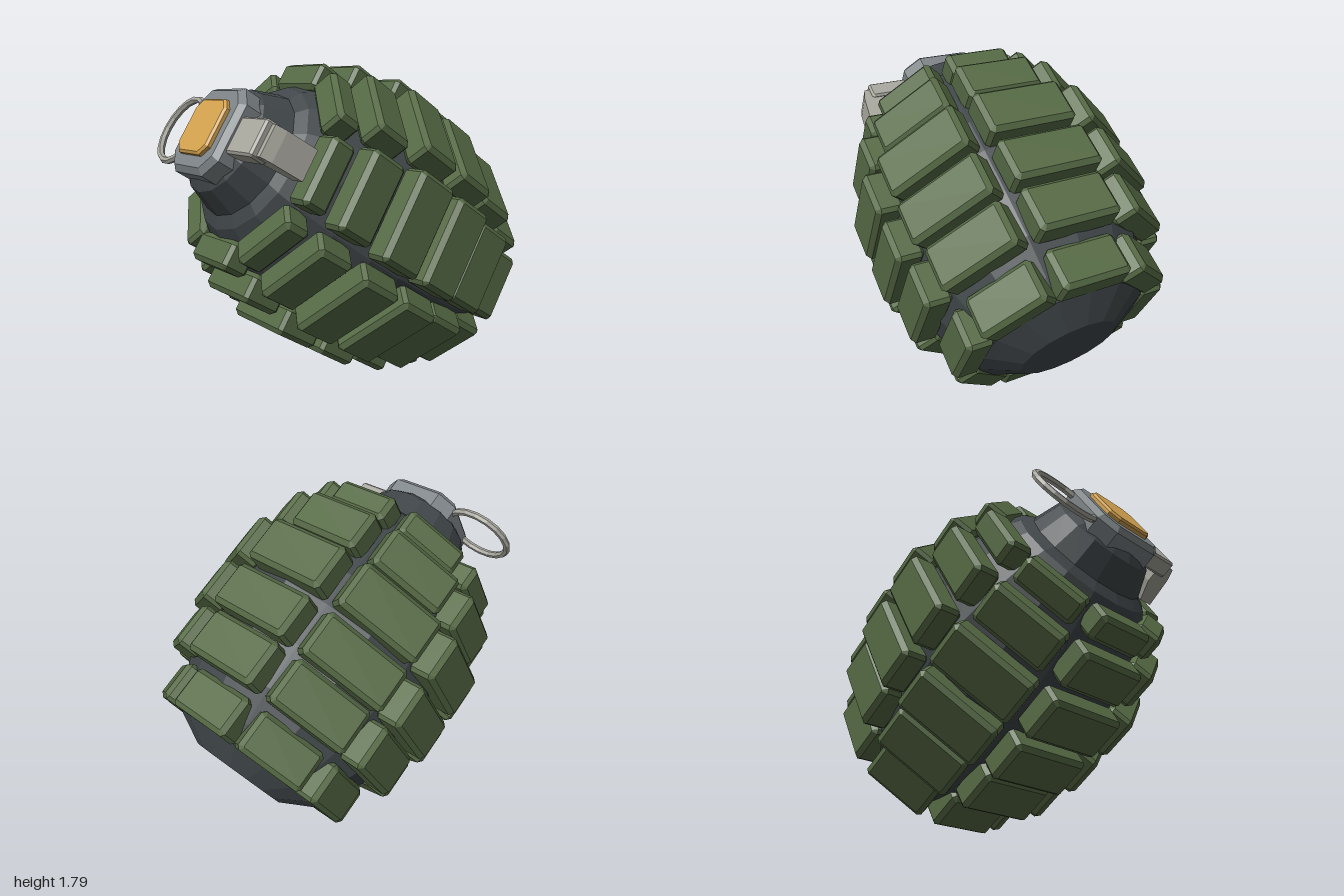
import * as THREE from 'three';

const paint = (name, color) => {
  const m = new THREE.MeshStandardMaterial({ color });
  m.name = name;
  return m;
};

// Facet a geometry with hard edges
function faceted(geometry) {
  const g = geometry.index ? geometry.toNonIndexed() : geometry;
  g.computeVertexNormals();
  return g;
}

// Chamfered slab with cut corners, centred, thickness along z
function slab(w, h, t, cut, bevel) {
  const a = w / 2, b = h / 2;
  const corners = [
    [a, b - cut], [a - cut, b], [-a + cut, b], [-a, b - cut],
    [-a, -b + cut], [-a + cut, -b], [a - cut, -b], [a, -b + cut],
  ];
  const shape = new THREE.Shape(corners.map(([x, y]) => new THREE.Vector2(x, y)));
  const g = new THREE.ExtrudeGeometry(shape, {
    depth: t - 2 * bevel, bevelEnabled: bevel > 0, bevelSegments: 1,
    bevelSize: bevel, bevelThickness: bevel, bevelOffset: -bevel,
  });
  return g.translate(0, 0, -t / 2 + bevel);
}

export function createModel() {
  const green = paint('olive green', 0x566a45);
  const dark = paint('dark iron', 0x404649);
  const grey = paint('cap grey', 0x7d8487);
  const silver = paint('pale steel', 0xa8a79e);
  const brass = paint('brass', 0xd3a24e);

  const model = new THREE.Group();
  model.name = 'grenade';

  // Everything is built upright along y, then tipped forward
  const tilted = new THREE.Group();
  tilted.name = 'tiltedBody';
  tilted.rotation.x = 1.021;
  tilted.position.set(0, 0.678, -0.415);
  model.add(tilted);

  const add = (name, geometry, material, parent = tilted) => {
    const mesh = new THREE.Mesh(geometry, material);
    mesh.name = name;
    parent.add(mesh);
    return mesh;
  };

  // Core with flat base, shoulder and neck
  const profile = [
    [0, -0.418], [0.28, -0.418], [0.48, -0.315], [0.54, -0.2], [0.63, 0], [0.67, 0.25],
    [0.68, 0.5], [0.66, 0.7], [0.59, 0.93], [0.5, 1.12], [0.425, 1.225],
    [0.36, 1.26], [0.3, 1.41], [0.23, 1.46], [0, 1.46],
  ].map(([r, y]) => new THREE.Vector2(r, y));
  add('core', faceted(new THREE.LatheGeometry(profile, 16)), dark);

  // Six rows of pads in eight columns: bottom, top, outer radius, width
  const rows = [
    [-0.325, -0.095, 0.6, 0.39], [-0.06, 0.195, 0.725, 0.46],
    [0.21, 0.46, 0.775, 0.5], [0.505, 0.765, 0.775, 0.5],
    [0.8, 1.025, 0.7, 0.44], [1.05, 1.2, 0.6, 0.37],
  ];
  const thickness = 0.16;
  const pads = rows.map(([y0, y1, r, w]) =>
    slab(w, y1 - y0, thickness, 0.02, 0.025).translate(0, (y0 + y1) / 2, r - thickness / 2));
  for (let i = 0; i < 8; i++) {
    const column = new THREE.Group();
    column.name = 'padColumn';
    column.rotation.y = (i * Math.PI) / 4;
    pads.forEach((g) => add('pad', g, green, column));
    tilted.add(column);
  }

  // Cap and brass plug
  const cap = add('cap', slab(0.48, 0.49, 0.15, 0.09, 0.03), grey);
  cap.rotation.x = -Math.PI / 2;
  cap.position.y = 1.46;
  const plug = add('brassPlug', slab(0.32, 0.31, 0.05, 0.05, 0.012), brass);
  plug.rotation.x = -Math.PI / 2;
  plug.position.y = 1.54;

  // Lever: arm out of the cap, then a bent strip hanging down
  const arm = add('leverArm', slab(0.27, 0.1, 0.2, 0.012, 0.012), silver);
  arm.position.set(0.335, 1.445, 0);
  const strip = new THREE.Shape([
    [0.4, 1.46], [0.4, 1.34], [0.45, 1.22], [0.54, 1.22], [0.52, 1.4], [0.5, 1.46],
  ].map(([x, y]) => new THREE.Vector2(x, y)));
  const drop = new THREE.ExtrudeGeometry(strip, { depth: 0.17, bevelEnabled: false });
  add('leverDrop', drop.translate(0, 0, -0.085), silver);

  // Pull ring
  const ring = add('pullRing', faceted(new THREE.TorusGeometry(0.19, 0.02, 6, 18)), silver);
  ring.rotation.x = Math.PI / 2;
  ring.position.set(-0.37, 1.485, 0);

  return model;
}
